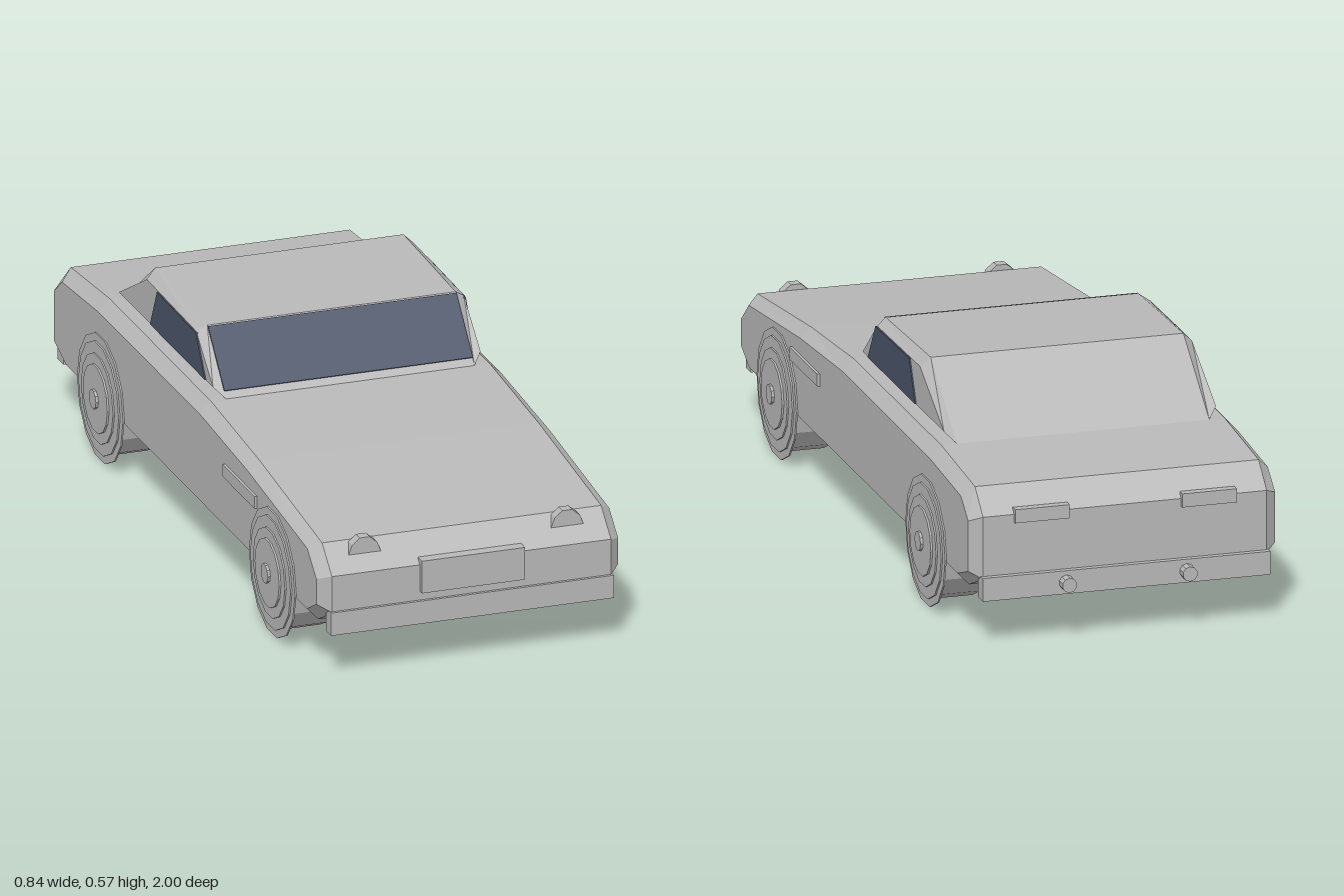
import * as THREE from 'three';

const paint = new THREE.MeshStandardMaterial({ color: 0xb8b8b8 });
paint.name = 'silver grey';
const glass = new THREE.MeshStandardMaterial({ color: 0x4a5468 });
glass.name = 'blue glass';

// Prism across x from a convex side outline of [z, y] points, with bevelled sides
// (outlines run from the front bottom up, back over the top and down).
function bevelledPrism(outer, inner, outerX, innerX) {
  const rings = [[inner, -innerX], [outer, -outerX], [outer, outerX], [inner, innerX]]
    .map(([pts, x]) => pts.map(([z, y]) => [x, y, z]));
  const n = outer.length;
  const pos = [];
  const tri = (...corners) => corners.forEach((c) => pos.push(...c));
  for (let k = 0; k < 3; k++) {
    for (let i = 0; i < n; i++) {
      const j = (i + 1) % n;
      const a = rings[k][i], b = rings[k][j], c = rings[k + 1][j], d = rings[k + 1][i];
      tri(a, d, c);
      tri(a, c, b);
    }
  }
  for (let i = 1; i < n - 1; i++) {
    tri(rings[0][0], rings[0][i], rings[0][i + 1]);
    tri(rings[3][0], rings[3][i + 1], rings[3][i]);
  }
  const geo = new THREE.BufferGeometry();
  geo.setAttribute('position', new THREE.Float32BufferAttribute(pos, 3));
  geo.computeVertexNormals();
  return geo;
}

function add(parent, name, geo, mat, x = 0, y = 0, z = 0) {
  const mesh = new THREE.Mesh(geo, mat);
  mesh.name = name;
  mesh.position.set(x, y, z);
  parent.add(mesh);
  return mesh;
}

// Box given by its lower and upper limits
function addBox(parent, name, [x0, x1], [y0, y1], [z0, z1]) {
  return add(parent, name, new THREE.BoxGeometry(x1 - x0, y1 - y0, z1 - z0), paint,
    (x0 + x1) / 2, (y0 + y1) / 2, (z0 + z1) / 2);
}

// Faceted disc or drum lying along x, between two x limits
function drum(radius, x0, x1, sides) {
  return new THREE.CylinderGeometry(radius, radius, x1 - x0, sides)
    .toNonIndexed().rotateZ(-Math.PI / 2).translate((x0 + x1) / 2, 0, 0);
}

function makeWheel(side) {
  const wheel = new THREE.Group();
  const parts = [
    ['tyre', 0.145, 0.287, 0.403, 14],
    ['wheelDisc', 0.165, 0.395, 0.399, 14],
    ['rim', 0.115, 0.281, 0.407, 14],
    ['hub', 0.088, 0.28, 0.412, 14],
    ['hubCap', 0.025, 0.4, 0.419, 10],
  ];
  for (const [name, r, x0, x1, sides] of parts) {
    const geo = drum(r, x0, x1, sides);
    if (side < 0) geo.rotateY(Math.PI);
    geo.computeVertexNormals();
    add(wheel, name, geo, paint);
  }
  return wheel;
}

export function createModel() {
  const car = new THREE.Group();
  car.name = 'car';

  // Lower body
  add(car, 'body', bevelledPrism(
    [[0.887, 0.126], [0.985, 0.18], [0.985, 0.275], [0.914, 0.338], [0.464, 0.389], [0.115, 0.415],
      [-0.61, 0.415], [-0.89, 0.394], [-0.957, 0.335], [-0.957, 0.175], [-0.84, 0.126]],
    [[0.887, 0.158], [0.955, 0.195], [0.955, 0.262], [0.89, 0.318], [0.464, 0.364], [0.115, 0.386],
      [-0.61, 0.384], [-0.87, 0.366], [-0.93, 0.32], [-0.93, 0.19], [-0.84, 0.158]],
    0.365, 0.395), paint);

  // Cabin
  add(car, 'cabin', bevelledPrism(
    [[0.115, 0.415], [-0.02, 0.56], [-0.395, 0.572], [-0.61, 0.415]],
    [[0.09, 0.44], [-0.03, 0.543], [-0.385, 0.548], [-0.585, 0.44]],
    0.325, 0.35), paint);

  // Windscreen
  const screen = add(car, 'windscreen', new THREE.BoxGeometry(0.65, 0.173, 0.008), glass, 0, 0.4935, 0.042);
  screen.rotation.x = -Math.atan2(0.135, 0.145);

  // Side windows
  const pane = [[0.04, 0.441], [-0.025, 0.541], [-0.305, 0.545], [-0.355, 0.441]];
  for (const side of [1, -1]) {
    add(car, side > 0 ? 'leftWindow' : 'rightWindow', bevelledPrism(pane, pane, 0.002, 0.003), glass, side * 0.35);
  }

  // Bumpers and front plate
  addBox(car, 'frontBumper', [-0.37, 0.37], [0.122, 0.182], [0.955, 0.993]);
  addBox(car, 'rearBumper', [-0.37, 0.37], [0.122, 0.182], [-0.972, -0.93]);
  addBox(car, 'frontPlate', [-0.135, 0.135], [0.205, 0.29], [0.97, 1.0]);

  // Half-round headlamp outline
  const lampShape = new THREE.Shape();
  [[-0.044, 0], [0.044, 0], [0.033, 0.029], [0.013, 0.046], [-0.013, 0.046], [-0.033, 0.029]]
    .forEach(([x, y], i) => (i ? lampShape.lineTo(x, y) : lampShape.moveTo(x, y)));
  const lampGeo = new THREE.ExtrudeGeometry(lampShape, { depth: 0.028, bevelEnabled: false });

  for (const side of [1, -1]) {
    const label = side > 0 ? 'left' : 'right';
    add(car, label + 'Headlamp', lampGeo, paint, side * 0.265, 0.305, 0.918);

    const span = (a, b) => (side > 0 ? [a, b] : [-b, -a]);
    addBox(car, label + 'TailLamp', span(0.145, 0.285), [0.315, 0.35], [-0.967, -0.945]);
    addBox(car, label + 'SideVent', span(0.39, 0.402), [0.29, 0.322], [0.3, 0.53]);

    // Exhaust pipe
    const pipe = new THREE.CylinderGeometry(0.019, 0.019, 0.07, 10).toNonIndexed().rotateX(Math.PI / 2);
    pipe.computeVertexNormals();
    add(car, label + 'Exhaust', pipe, paint, side * 0.155, 0.152, -0.965);

    // Wheels
    for (const [end, z] of [['Front', 0.647], ['Rear', -0.587]]) {
      const wheel = makeWheel(side);
      wheel.name = label + end + 'Wheel';
      wheel.position.set(0, 0.165, z);
      car.add(wheel);
    }
  }
  return car;
}
